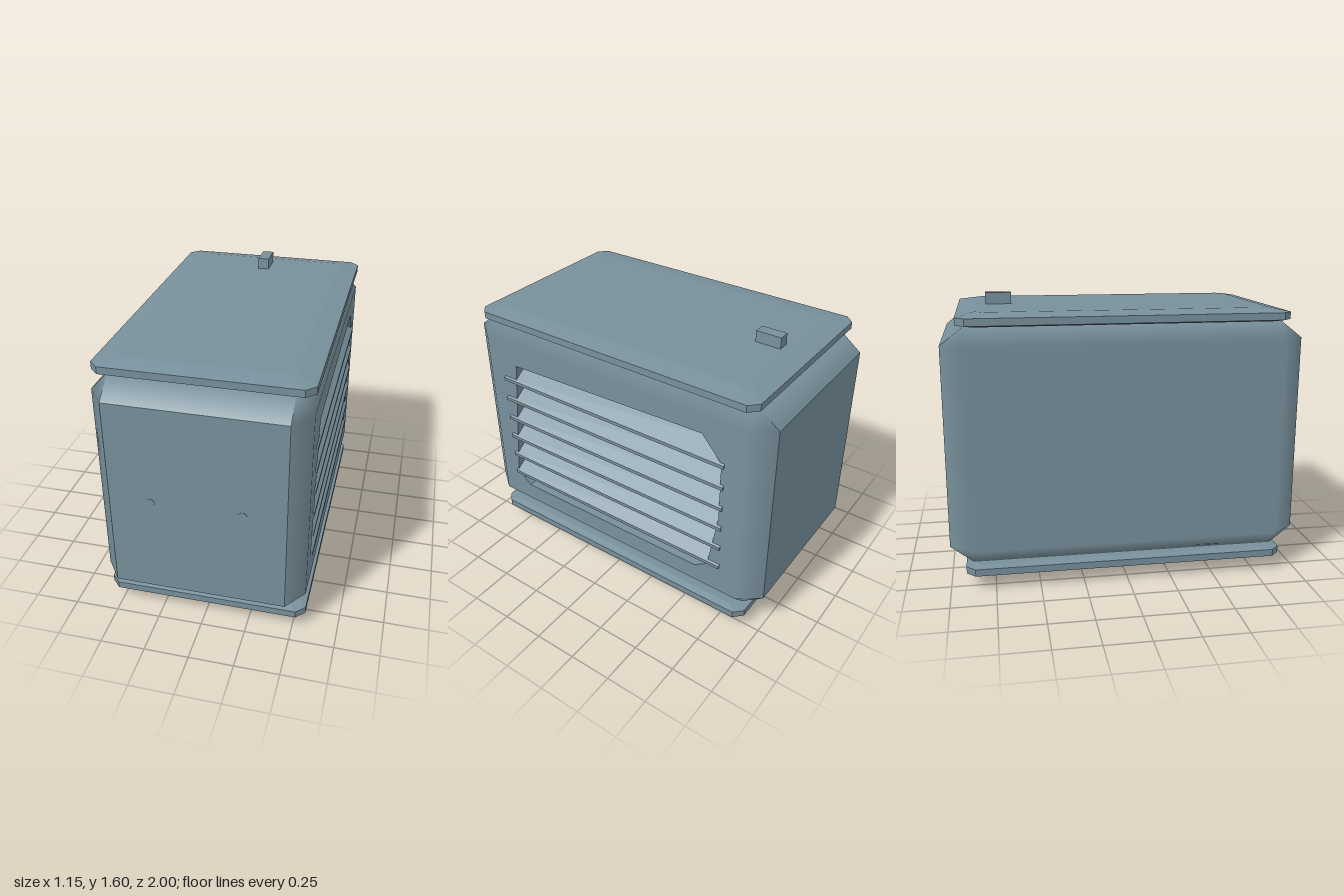
import * as THREE from 'three';

const steel = new THREE.MeshStandardMaterial({ color: 0x78909c });
steel.name = 'blue grey steel';

const V = (x, y, z) => new THREE.Vector3(x, y, z);

// Collects convex faces, turning each one outwards from the origin
function faceBuilder() {
  const pos = [], nor = [];
  return {
    add(points, normals) {
      const flat = V().crossVectors(
        points[1].clone().sub(points[0]), points[2].clone().sub(points[0])).normalize();
      const flip = flat.dot(points[0]) < 0;
      if (flip) flat.negate();
      for (let i = 1; i < points.length - 1; i++) {
        for (const k of flip ? [0, i + 1, i] : [0, i, i + 1]) {
          pos.push(...points[k].toArray());
          nor.push(...(normals ? normals[k] : flat).toArray());
        }
      }
    },
    build() {
      const g = new THREE.BufferGeometry();
      g.setAttribute('position', new THREE.Float32BufferAttribute(pos, 3));
      g.setAttribute('normal', new THREE.Float32BufferAttribute(nor, 3));
      return g;
    },
  };
}

// Box with chamfered edges and corners; the +x side is left open for the vent panel
function chamferedShell(outer, inner) {
  const f = faceBuilder();
  const corner = (axis, s) => V(...s.map((q, i) => q * (i === axis ? outer[i] : inner[i])));
  const axisNormal = (axis, s) => V(...s.map((q, i) => (i === axis ? q : 0)));
  // Front and back edges are crisp, so their chamfer normals lean towards the neighbour
  const blend = (axis, other, s) => axis === 2
    ? axisNormal(2, s).multiplyScalar(0.8).add(axisNormal(other, s).multiplyScalar(0.6))
    : axisNormal(axis, s);
  const signs = [-1, 1];
  for (let a = 0; a < 3; a++) {
    const b = (a + 1) % 3, c = (a + 2) % 3;
    const sign = (p, q, r) => { const s = [0, 0, 0]; s[a] = p; s[b] = q; s[c] = r; return s; };
    // main faces
    for (const p of signs) {
      if (a === 0 && p === 1) continue;
      f.add([[-1, -1], [1, -1], [1, 1], [-1, 1]].map(([q, r]) => corner(a, sign(p, q, r))));
    }
    // chamfers running along axis a
    for (const q of signs) for (const r of signs) {
      const lo = sign(-1, q, r), hi = sign(1, q, r);
      f.add([corner(b, lo), corner(b, hi), corner(c, hi), corner(c, lo)],
        [blend(b, c, lo), blend(b, c, hi), blend(c, b, hi), blend(c, b, lo)]);
    }
  }
  // corner triangles
  for (const x of signs) for (const y of signs) for (const z of signs) {
    const s = [x, y, z];
    f.add([0, 1, 2].map((a) => corner(a, s)), [0, 1, 2].map((a) => blend(a, 0, s)));
  }
  return f.build();
}

// Octagonal plate with bevelled rim, lofted through rings of [y, halfX, halfZ, cornerCut]
function bevelledPlate(rings) {
  const f = faceBuilder();
  const loops = rings.map(([y, x, z, c]) => [
    [x, z - c], [x - c, z], [-x + c, z], [-x, z - c],
    [-x, -z + c], [-x + c, -z], [x - c, -z], [x, -z + c],
  ].map(([px, pz]) => V(px, y, pz)));
  f.add(loops[0]);
  f.add(loops[loops.length - 1]);
  for (let i = 0; i < loops.length - 1; i++) {
    for (let k = 0; k < 8; k++) {
      const n = (k + 1) % 8;
      f.add([loops[i][k], loops[i][n], loops[i + 1][n], loops[i + 1][k]]);
    }
  }
  return f.build();
}

export function createModel() {
  const group = new THREE.Group();
  const add = (name, geometry, x = 0, y = 0, z = 0) => {
    const mesh = new THREE.Mesh(geometry, steel);
    mesh.name = name;
    mesh.position.set(x, y, z);
    group.add(mesh);
    return mesh;
  };
  const midY = 0.8;

  // Housing
  add('housing', chamferedShell([0.57, 0.665, 0.998], [0.475, 0.565, 0.87]), -0.005, midY);

  // Vent side: panel with an irregular opening (shape x = -z, shape y = height)
  const opening = [
    [-0.75, 0.43], [-0.66, 0.345], [0.6, 0.345], [0.68, 0.4],
    [0.74, 0.76], [0.74, 1.12], [0.62, 1.26], [-0.66, 1.22],
  ].map(([x, y]) => new THREE.Vector2(x, y));
  const panel = new THREE.Shape([[-0.87, 0.235], [0.87, 0.235], [0.87, 1.365], [-0.87, 1.365]]
    .map(([x, y]) => new THREE.Vector2(x, y)));
  panel.holes.push(new THREE.Path(opening));
  const depth = 0.12;
  add('ventPanel', new THREE.ExtrudeGeometry(panel, { depth, bevelEnabled: false }), 0.565 - depth)
    .rotation.y = Math.PI / 2;
  add('ventBack', new THREE.PlaneGeometry(1.6, 1.0), 0.565 - depth + 0.002, midY)
    .rotation.y = Math.PI / 2;

  // Sloping louvres, inner edge raised
  const slat = new THREE.Shape([[0.575, -0.012], [0.575, 0.008], [0.48, 0.09], [0.48, 0.07]]
    .map(([x, y]) => new THREE.Vector2(x, y)));
  const slatGeometry = new THREE.ExtrudeGeometry(slat, { depth: 1.52, bevelEnabled: false });
  for (let i = 0; i < 6; i++) add('louvre', slatGeometry, 0, 0.42 + i * 0.138, -0.76);

  // Top and bottom plates with their pins
  const plate = bevelledPlate([
    [-0.035, 0.53, 0.87, 0.05], [-0.025, 0.568, 0.912, 0.05],
    [0.015, 0.568, 0.912, 0.05], [0.035, 0.46, 0.81, 0.04],
  ]);
  add('topPlate', plate, 0, 1.5);
  add('bottomPlate', plate, 0, 0.1).rotation.x = Math.PI;
  const pin = new THREE.BoxGeometry(0.066, 0.08, 0.148);
  add('topPin', pin, -0.007, 1.56, -0.675);
  add('bottomPin', pin, -0.007, 0.04, -0.675);

  // Small round studs on the front
  const stud = new THREE.CylinderGeometry(0.024, 0.024, 0.006, 12).rotateX(Math.PI / 2);
  for (const x of [-0.253, 0.24]) add('stud', stud, x, midY, 0.997);

  return group;
}
